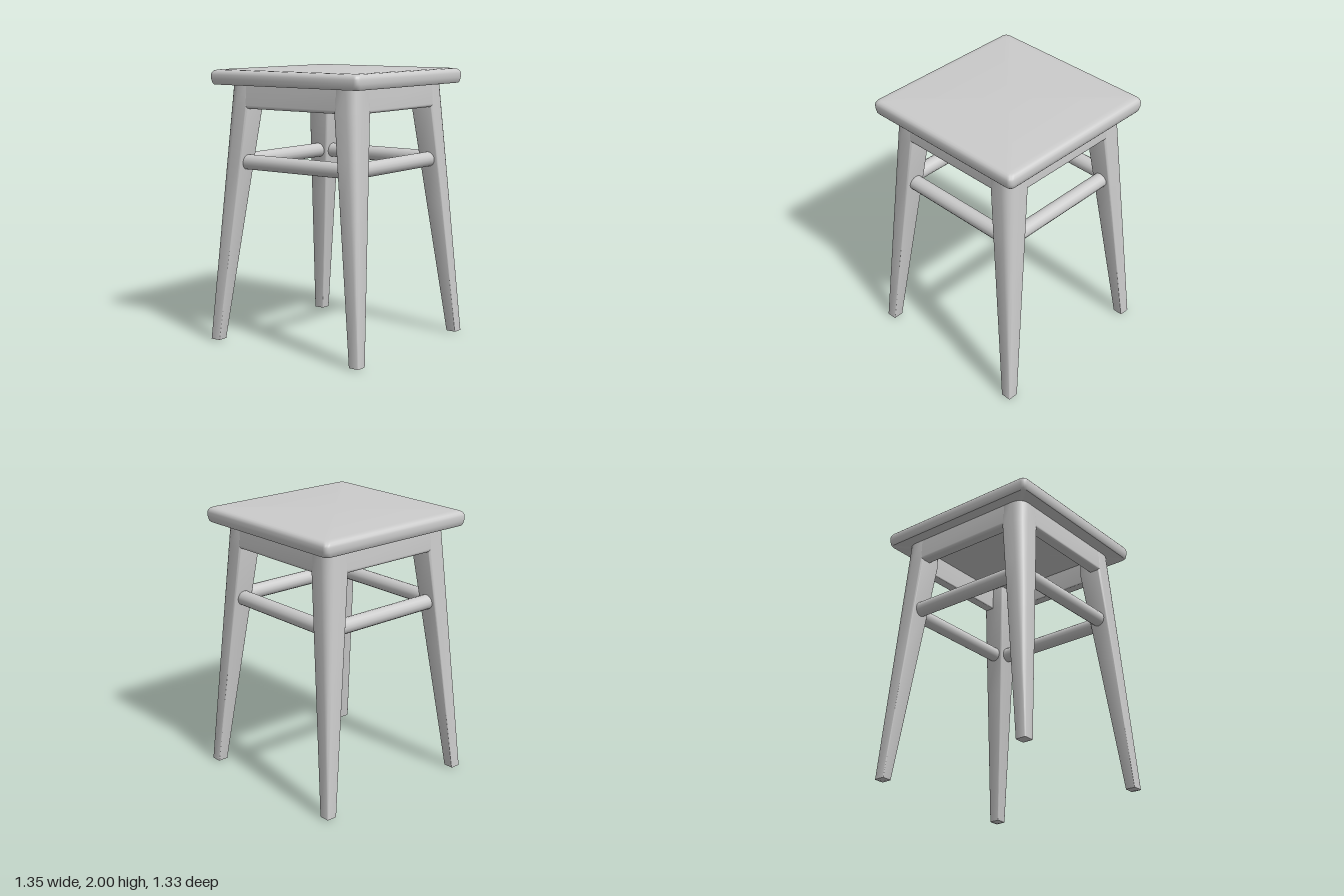
import * as THREE from 'three';
import { toCreasedNormals } from 'three/addons/utils/BufferGeometryUtils.js';

const material = new THREE.MeshStandardMaterial({ color: 0xcccccc });

// Rectangle outline at height y, counterclockwise from above, with a radius per corner.
// Corner order: (+x,+z), (+x,-z), (-x,-z), (-x,+z)
function ring(y, x0, x1, z0, z1, radii, steps = 5) {
  const corners = [[x1, z1, 1, 1], [x1, z0, 1, -1], [x0, z0, -1, -1], [x0, z1, -1, 1]];
  const points = [];
  corners.forEach(([x, z, sx, sz], i) => {
    const r = radii[i];
    for (let s = 0; s <= steps; s++) {
      const a = -Math.PI / 2 + (i + s / steps) * Math.PI / 2;
      points.push([x - sx * r + r * Math.cos(a), y, z - sz * r - r * Math.sin(a)]);
    }
  });
  return points;
}

// Skin a stack of rings from bottom to top and close both ends with fans.
function loft(rings, bottom, top, crease = 0.7) {
  const n = rings[0].length;
  const last = (rings.length - 1) * n;
  const positions = [...rings.flat(2), ...bottom, ...top];
  const lowCentre = rings.length * n;
  const index = [];
  for (let j = 0; j < n; j++) {
    const k = (j + 1) % n;
    for (let i = 0; i < rings.length - 1; i++) {
      const a = i * n + j, b = i * n + k;
      index.push(a, b, b + n, a, b + n, a + n);
    }
    index.push(lowCentre, k, j, lowCentre + 1, last + j, last + k);
  }
  const geometry = new THREE.BufferGeometry();
  geometry.setAttribute('position', new THREE.Float32BufferAttribute(positions, 3));
  geometry.setIndex(index);
  return toCreasedNormals(geometry, crease);
}

function addPart(parent, name, geometry) {
  const mesh = new THREE.Mesh(geometry, material);
  mesh.name = name;
  parent.add(mesh);
  return mesh;
}

// Seat board: soft top edge, tighter lower edge
function seatGeometry() {
  const profile = [
    [1.89, 0.645], [1.9, 0.653], [1.93, 0.659], [1.96, 0.66],
    [1.975, 0.656], [1.988, 0.646], [1.995, 0.63], [1.998, 0.6],
  ];
  const rings = profile.map(([y, h]) => ring(y, -h, h, -h, h, Array(4).fill(0.035)));
  return loft(rings, [0, 1.89, 0], [0, 2, 0], 0.8);
}

// Splayed, tapering leg whose outer corner grows rounder towards the top
function legGeometry() {
  const levels = [0.01, 0.5, 1.0, 1.4, 1.72, 1.895];
  const rings = levels.map((y) => {
    const t = y / 1.89;
    const outer = 0.675 - 0.115 * t;
    const inner = Math.max(0.595 - 0.121 * y, 0.387);
    const round = 0.008 + 0.075 * t;
    const soft = 0.005 + 0.015 * t;
    return ring(y, inner, outer, inner, outer, [round, soft, soft, soft]);
  });
  return loft(rings, [0.637, 0, 0.637], [0.475, 1.895, 0.475]);
}

// Apron board: leaning outer face with a rounded lower edge
function apronGeometry() {
  const s = new THREE.Shape();
  s.moveTo(0.485, 1.73);
  s.quadraticCurveTo(0.485, 1.72, 0.495, 1.72);
  s.lineTo(0.545, 1.72);
  s.quadraticCurveTo(0.569, 1.72, 0.568, 1.745);
  s.lineTo(0.559, 1.895);
  s.lineTo(0.485, 1.895);
  s.closePath();
  const g = new THREE.ExtrudeGeometry(s, { depth: 0.92, bevelEnabled: false, curveSegments: 5 });
  g.translate(0, 0, -0.46);
  g.rotateY(-Math.PI / 2);
  return toCreasedNormals(g, 0.7);
}

// Round stretcher between two legs
function stretcherGeometry() {
  const g = new THREE.CylinderGeometry(0.055, 0.055, 0.98, 16);
  g.rotateZ(Math.PI / 2);
  g.translate(0, 1.332, 0.512);
  return g;
}

export function createModel() {
  const stool = new THREE.Group();
  stool.name = 'stool';
  addPart(stool, 'seat', seatGeometry());

  const frame = new THREE.Group();
  frame.name = 'frame';
  frame.scale.z = 0.987;
  stool.add(frame);

  // The same leg, apron and stretcher repeat around the four sides
  const parts = { leg: legGeometry(), apron: apronGeometry(), stretcher: stretcherGeometry() };
  for (let i = 0; i < 4; i++) {
    for (const [name, geometry] of Object.entries(parts)) {
      addPart(frame, name + (i + 1), geometry).rotation.y = i * Math.PI / 2;
    }
  }
  return stool;
}
